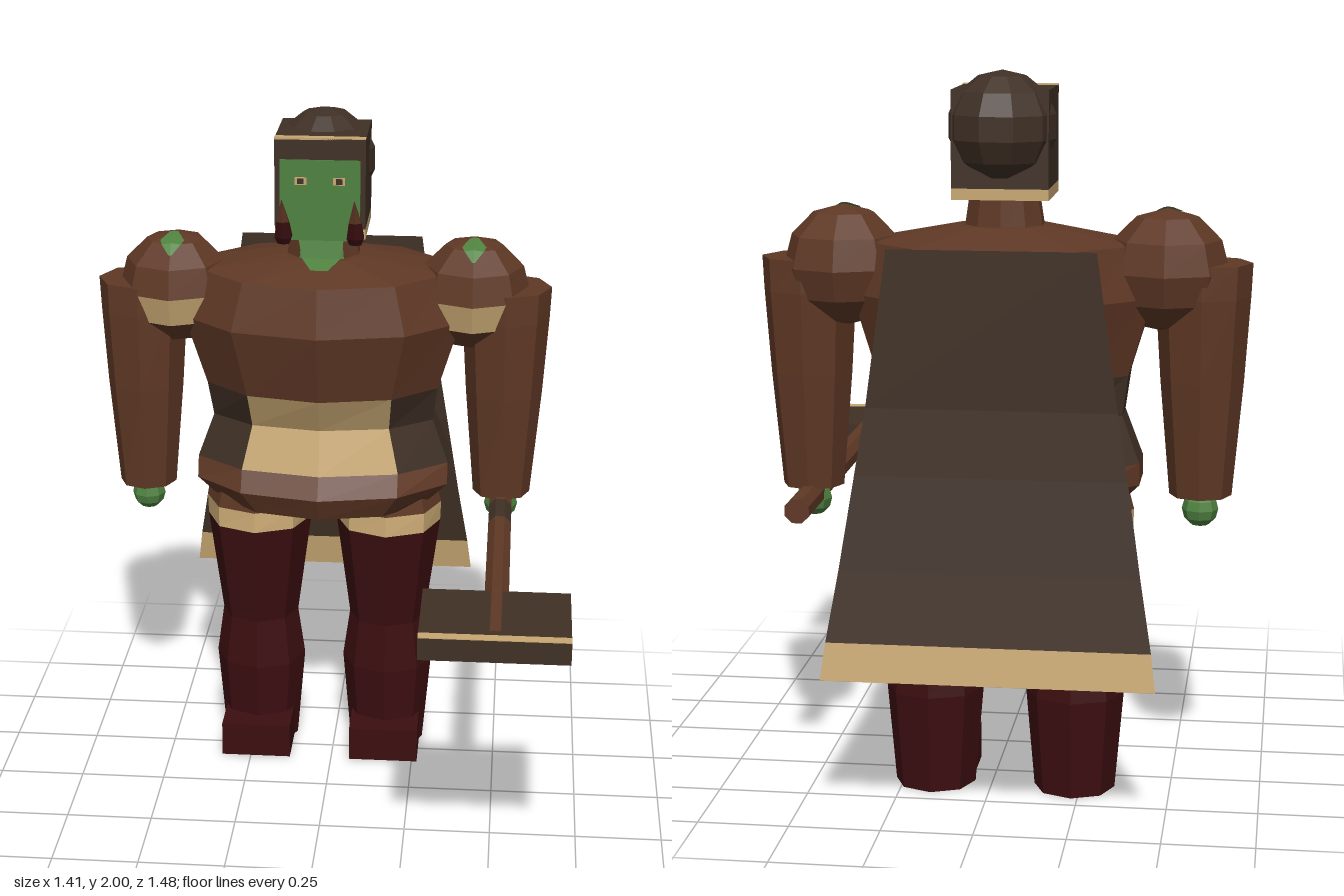
import * as THREE from 'three';

export function createModel() {
  const mat = (name, color, side = THREE.FrontSide) =>
    Object.assign(new THREE.MeshStandardMaterial({ color, flatShading: true, side }), { name });
  const brown = mat('leather brown', 0x5f3825);
  const dark = mat('dark cloth', 0x3f3025, THREE.DoubleSide);
  const tan = mat('tan trim', 0xc8a873, THREE.DoubleSide);
  const green = mat('green skin', 0x4f8240, THREE.DoubleSide);
  const red = mat('dark red', 0x3c0e10);

  const root = new THREE.Group();
  root.name = 'warrior';
  const body = new THREE.Group();
  body.name = 'body';
  body.position.x = -0.035;
  root.add(body);

  const add = (name, geo, material, x = 0, y = 0, z = 0) => {
    const m = new THREE.Mesh(geo, material);
    m.name = name;
    m.position.set(x, y, z);
    body.add(m);
    return m;
  };
  const box = (name, material, x0, x1, y0, y1, z0, z1) =>
    add(name, new THREE.BoxGeometry(x1 - x0, y1 - y0, z1 - z0), material,
      (x0 + x1) / 2, (y0 + y1) / 2, (z0 + z1) / 2);

  // Skin between rows of points; pick(row, column) gives each quad its material
  const surface = (name, rows, pick) => {
    const pos = [], mats = [], geo = new THREE.BufferGeometry();
    for (let j = 0; j < rows.length - 1; j++) {
      for (let i = 0; i < rows[j].length - 1; i++) {
        const a = rows[j][i], b = rows[j][i + 1], c = rows[j + 1][i + 1], d = rows[j + 1][i];
        const m = pick(j, i);
        if (!mats.includes(m)) mats.push(m);
        geo.addGroup(pos.length / 3, 6, mats.indexOf(m));
        for (const p of [a, b, c, a, c, d]) pos.push(...p);
      }
    }
    geo.setAttribute('position', new THREE.Float32BufferAttribute(pos, 3));
    geo.computeVertexNormals();
    return add(name, geo, mats);
  };
  // Stack of elliptical rings [y, rx, rz, z], bottom to top, with closed ends
  const loft = (name, rings, sides, x, pick) => {
    const first = rings[0], last = rings[rings.length - 1];
    const all = [[first[0], 0, 0, first[3]], ...rings, [last[0], 0, 0, last[3]]];
    const rows = all.map(([y, rx, rz, z]) => Array.from({ length: sides + 1 }, (_, i) => {
      const a = (i % sides) / sides * Math.PI * 2;
      return [x + Math.sin(a) * rx, y, z + Math.cos(a) * rz];
    }));
    return surface(name, rows, (j, i) => pick(j - 1, i));
  };

  // Torso with dark belt; the two front belt panels form the buckle
  loft('torso', [
    [0.82, 0.32, 0.22, -0.34], [0.89, 0.395, 0.25, -0.34], [0.95, 0.395, 0.22, -0.355],
    [1.08, 0.345, 0.182, -0.358], [1.19, 0.36, 0.23, -0.345], [1.4, 0.426, 0.282, -0.338],
    [1.54, 0.373, 0.255, -0.345], [1.585, 0.13, 0.12, -0.335],
  ], 10, 0, (j, i) => {
    if (j !== 2 && j !== 3) return brown;
    return i === 0 || i === 9 ? tan : dark;
  });
  loft('neck', [[1.55, 0.115, 0.1, -0.335], [1.68, 0.095, 0.088, -0.335]], 10, 0,
    (j, i) => (i === 0 || i === 9 ? green : brown));
  // Skin showing at the throat
  surface('throat', [
    [[-0.025, 1.573, -0.17], [0.025, 1.573, -0.17]],
    [[-0.055, 1.592, -0.228], [0.055, 1.592, -0.228]],
    [[-0.07, 1.67, -0.242], [0.07, 1.67, -0.242]],
  ], () => green);

  // Head and helmet
  box('helmet', dark, -0.13, 0.13, 1.69, 1.95, -0.45, -0.2);
  box('helmetLowerTrim', tan, -0.13, 0.13, 1.66, 1.69, -0.45, -0.2);
  box('helmetBrowTrim', tan, -0.13, 0.13, 1.947, 1.953, -0.225, -0.2);
  box('face', green, -0.115, 0.115, 1.655, 1.89, -0.203, -0.196);
  add('helmetDome', new THREE.SphereGeometry(0.148, 10, 7), dark, 0, 1.852, -0.39);

  // Cape, curving out toward a trimmed hem
  surface('cape', [
    [0.41, 0.445, -0.74], [0.51, 0.432, -0.722], [0.7, 0.4, -0.69], [0.95, 0.362, -0.652],
    [1.13, 0.333, -0.636], [1.55, 0.275, -0.634],
  ].map(([y, w, z]) => [[w, y, z], [-w, y, z]]), (j) => (j === 0 ? tan : dark));

  for (const s of [-1, 1]) {
    const side = s > 0 ? 'left' : 'right';

    // Eyes
    box(side + 'Eye', tan, s * 0.055 - 0.017, s * 0.055 + 0.017, 1.818, 1.84, -0.199, -0.194);
    box(side + 'Pupil', dark, s * 0.055 - 0.009, s * 0.055 + 0.009, 1.821, 1.837, -0.198, -0.192);

    // Tusks leaning forward
    loft(side + 'Tusk', [
      [1.65, 0.02, 0.02, -0.185], [1.67, 0.028, 0.028, -0.18],
      [1.72, 0.02, 0.018, -0.16], [1.79, 0.001, 0.001, -0.13],
    ], 6, s * 0.103, (j) => (j < 2 ? red : brown));

    // Shoulder ball with a tan panel on the inner front
    const r = 0.167, balls = [];
    for (let k = 0; k <= 6; k++) {
      const a = Math.PI * k / 6, rr = Math.sin(a) * r;
      balls.push([1.468 - Math.cos(a) * r, rr, rr, -0.345]);
    }
    const inner = s > 0 ? 7 : 0;
    loft(side + 'Shoulder', balls, 8, s * 0.44,
      (j, i) => (j === 2 && (i === inner || i === 7 - inner) ? tan : brown));
    surface(side + 'ShoulderPatch', [
      [0.115, 0.004, 1.59], [0.085, 0.028, 1.619], [0.06, 0.035, 1.626], [0.015, 0.012, 1.637],
    ].map(([z, w, y]) => [-1, 0, 1].map((k) =>
      [s * 0.44 + k * w, y - Math.abs(k) * w * 0.15, -0.345 + z])), () => green);

    // Arm and hand
    loft(side + 'Arm', [
      [0.85, 0.085, 0.083, -0.33], [1.17, 0.113, 0.112, -0.335],
      [1.4, 0.128, 0.125, -0.34], [1.49, 0.132, 0.122, -0.34],
    ], 8, s * 0.537, () => brown);
    add(side + 'Hand', new THREE.SphereGeometry(0.05, 8, 6), green, s * 0.537, 0.81, -0.33);

    // Leg with tan upper band, and boot
    loft(side + 'Leg', [
      [0, 0.113, 0.112, -0.338], [0.28, 0.137, 0.133, -0.34], [0.43, 0.116, 0.115, -0.338],
      [0.745, 0.158, 0.158, -0.337], [0.805, 0.16, 0.15, -0.337], [0.88, 0.14, 0.14, -0.337],
    ], 8, s * 0.197, (j) => (j < 3 ? red : j === 3 ? tan : brown));
    box(side + 'Boot', red, s * 0.197 - 0.105, s * 0.197 + 0.105, 0.005, 0.11, -0.36, -0.155);
  }

  // Hammer held in the left hand, lying along z
  const shaft = (name, material, z0, z1, radius) => {
    const geo = new THREE.CylinderGeometry(radius, radius, z1 - z0, 8);
    geo.rotateY(Math.PI / 8).rotateX(Math.PI / 2);
    add(name, geo, material, 0.537, 0.826, (z0 + z1) / 2);
  };
  shaft('hammerShaftRear', brown, -0.565, -0.235, 0.036);
  shaft('hammerGrip', dark, -0.235, -0.1, 0.036);
  shaft('hammerShaft', brown, -0.1, 0.68, 0.036);
  box('hammerHead', dark, 0.335, 0.738, 0.794, 0.857, 0.425, 0.74);
  box('hammerTopTrim', tan, 0.335, 0.738, 0.853, 0.859, 0.708, 0.74);
  box('hammerLowerInlay', green, 0.53, 0.544, 0.789, 0.795, 0.44, 0.68);

  return root;
}
